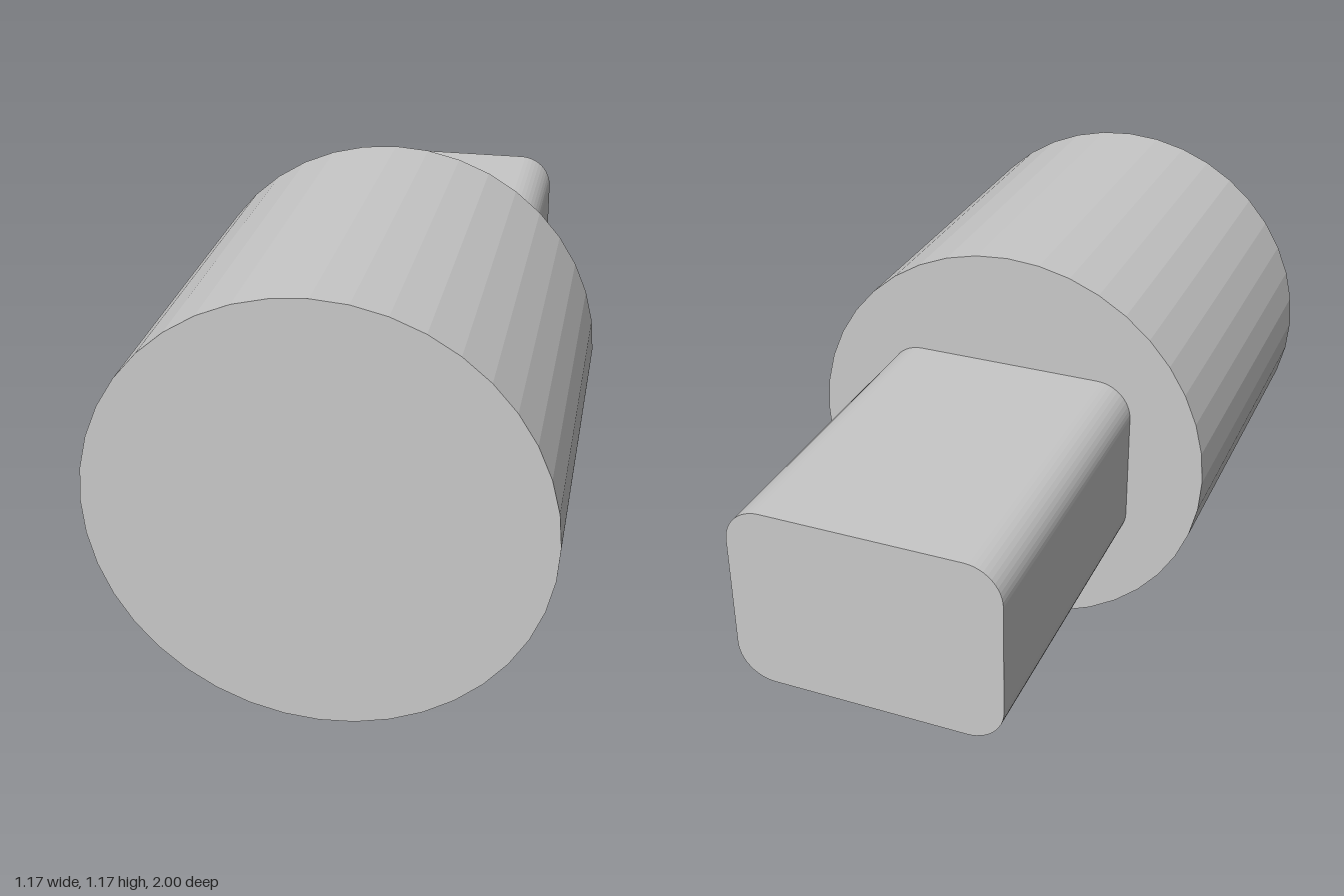
import * as THREE from 'three';

const CENTER_Y = 0.585;

// Rectangle outline with rounded corners, centred on the origin
function roundedRect(w, h, r) {
  const x = w / 2, y = h / 2;
  const s = new THREE.Shape();
  s.moveTo(-x + r, -y);
  s.lineTo(x - r, -y);
  s.absarc(x - r, -y + r, r, -Math.PI / 2, 0);
  s.lineTo(x, y - r);
  s.absarc(x - r, y - r, r, 0, Math.PI / 2);
  s.lineTo(-x + r, y);
  s.absarc(-x + r, y - r, r, Math.PI / 2, Math.PI);
  s.lineTo(-x, -y + r);
  s.absarc(-x + r, -y + r, r, Math.PI, Math.PI * 1.5);
  return s;
}

export function createModel() {
  const group = new THREE.Group();
  const grey = new THREE.MeshStandardMaterial({ color: 0xc8c8c8, flatShading: true });
  grey.name = 'light grey';

  // Wide round head, from z = -0.07 to the front
  const headGeometry = new THREE.CylinderGeometry(0.585, 0.585, 1.07, 40);
  headGeometry.rotateX(Math.PI / 2);
  const head = new THREE.Mesh(headGeometry, grey);
  head.name = 'head';
  head.position.set(0, CENTER_Y, 0.465);
  group.add(head);

  // Rounded rectangular shank running to the back
  const shankGeometry = new THREE.ExtrudeGeometry(roundedRect(0.735, 0.515, 0.1), {
    depth: 0.93, bevelEnabled: false, curveSegments: 6,
  });
  const shank = new THREE.Mesh(shankGeometry, grey);
  shank.name = 'shank';
  shank.position.set(0, CENTER_Y + 0.002, -1);
  group.add(shank);

  return group;
}
